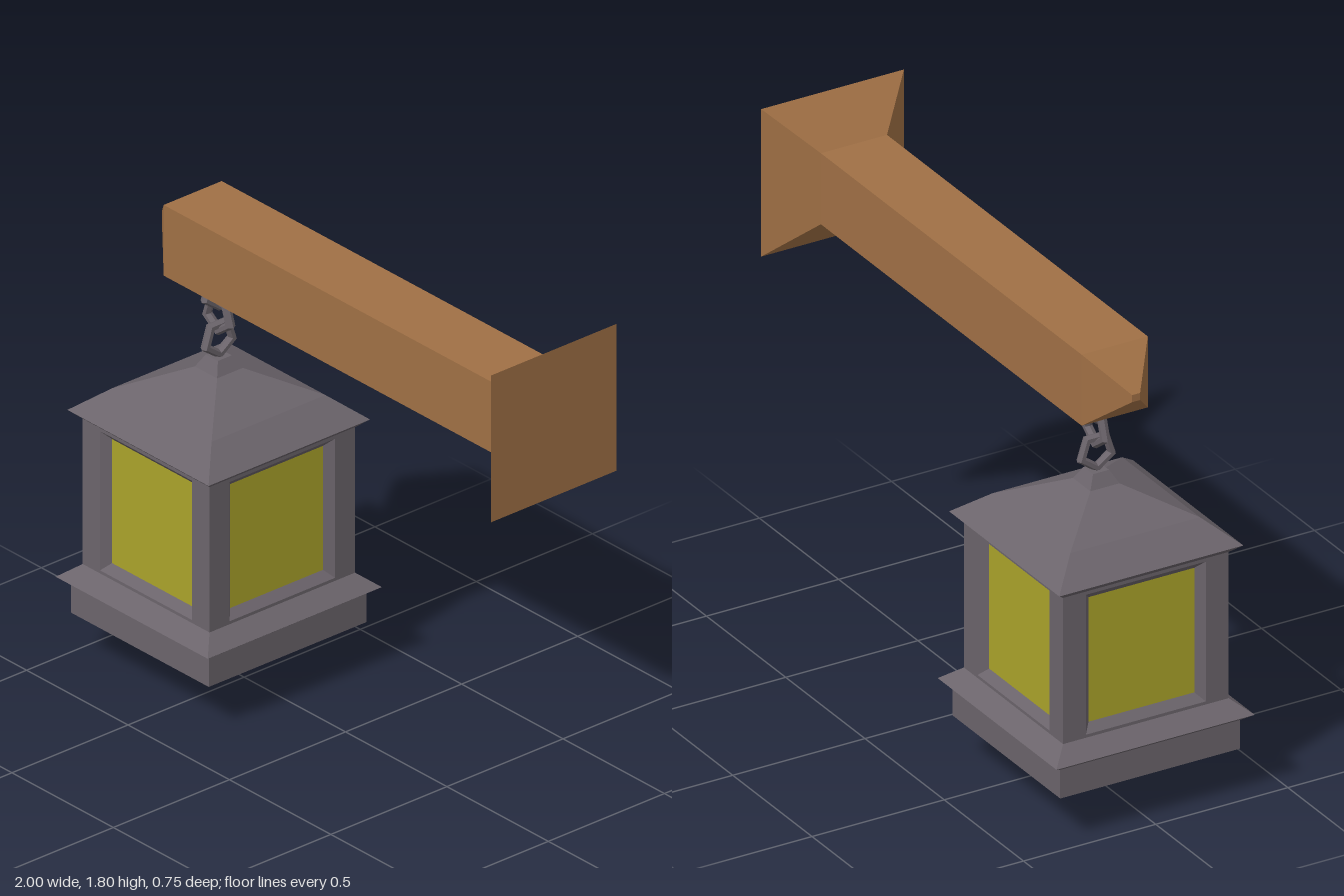
import * as THREE from 'three';

const material = (color) => new THREE.MeshStandardMaterial({ color, flatShading: true });

// Joins rectangular sections [y, halfX, halfZ] along y; listing them downward makes the faces look inward.
function loft(sections, caps = true) {
  const positions = [];
  const ring = ([y, hx, hz = hx]) => [[hx, y, hz], [hx, y, -hz], [-hx, y, -hz], [-hx, y, hz]];
  const quad = (a, b, c, d) => [a, b, c, a, c, d].forEach((p) => positions.push(...p));
  const rings = sections.map(ring);
  for (let i = 0; i < rings.length - 1; i++) {
    const lo = rings[i], hi = rings[i + 1];
    for (let k = 0; k < 4; k++) {
      const n = (k + 1) % 4;
      quad(lo[k], lo[n], hi[n], hi[k]);
    }
  }
  if (caps) {
    const [a, b, c, d] = rings[0];
    quad(d, c, b, a);
    quad(...rings[rings.length - 1]);
  }
  const geometry = new THREE.BufferGeometry();
  geometry.setAttribute('position', new THREE.Float32BufferAttribute(positions, 3));
  geometry.computeVertexNormals();
  return geometry;
}

function add(parent, name, geometry, mat) {
  const mesh = new THREE.Mesh(geometry, mat);
  mesh.name = name;
  parent.add(mesh);
  return mesh;
}

export function createModel() {
  const model = new THREE.Group();
  model.name = 'hangingLantern';
  const wood = material(0xa07045);
  const metal = material(0x6b646b);
  const glass = material(0xaaa32a);

  // Wooden beam: pointed tip, square shaft and flared wall plate
  const beam = add(model, 'beam', loft([
    [-0.915, 0.013, 0.015],
    [-0.78, 0.13, 0.125],
    [0.865, 0.13, 0.125],
    [1, 0.27, 0.27],
  ]).rotateZ(-Math.PI / 2), wood);
  beam.position.set(0, 1.53, -0.023);

  const lantern = new THREE.Group();
  lantern.name = 'lantern';
  lantern.position.x = -0.625;
  model.add(lantern);

  // Chain of five-sided links, each turned a quarter from the next
  [1.375, 1.285, 1.2].forEach((y, i) => {
    const link = add(lantern, 'chainLink', new THREE.TorusGeometry(0.06, 0.017, 6, 5).rotateZ(-Math.PI / 2), metal);
    link.position.y = y;
    link.rotation.y = i % 2 ? 0 : Math.PI / 2;
  });

  // Stepped base with its projecting ledge
  add(lantern, 'base', loft([
    [0, 0.045], [0.1, 0.155], [0.135, 0.155], [0.17, 0.34],
    [0.275, 0.34], [0.3, 0.375], [0.35, 0.313],
  ]), metal);

  // Roof with overhanging eaves and a small cap
  add(lantern, 'roof', loft([
    [0.885, 0.313], [0.915, 0.348], [1.0, 0.245], [1.09, 0.055], [1.135, 0.03],
  ]), metal);

  // Four walls, each with a bevelled window
  const half = 0.313, bottom = 0.35, top = 0.885;
  const windowY = 0.617, outerX = 0.227, outerY = 0.256, innerX = 0.2, innerY = 0.228, depth = 0.028;
  const frame = new THREE.Shape([
    new THREE.Vector2(-half, bottom), new THREE.Vector2(half, bottom),
    new THREE.Vector2(half, top), new THREE.Vector2(-half, top),
  ]);
  frame.holes.push(new THREE.Path([
    new THREE.Vector2(-outerX, windowY - outerY), new THREE.Vector2(-outerX, windowY + outerY),
    new THREE.Vector2(outerX, windowY + outerY), new THREE.Vector2(outerX, windowY - outerY),
  ]));
  const frameGeometry = new THREE.ShapeGeometry(frame);
  const bevelGeometry = loft([[0, outerX, outerY], [-depth, innerX, innerY]], false).rotateX(Math.PI / 2);
  const paneGeometry = new THREE.PlaneGeometry(innerX * 2, innerY * 2);

  for (let i = 0; i < 4; i++) {
    const wall = new THREE.Group();
    wall.name = 'wall';
    wall.rotation.y = i * Math.PI / 2;
    lantern.add(wall);
    add(wall, 'windowFrame', frameGeometry, metal).position.z = half;
    add(wall, 'windowBevel', bevelGeometry, metal).position.set(0, windowY, half);
    add(wall, 'windowPane', paneGeometry, glass).position.set(0, windowY, half - depth);
  }

  return model;
}
